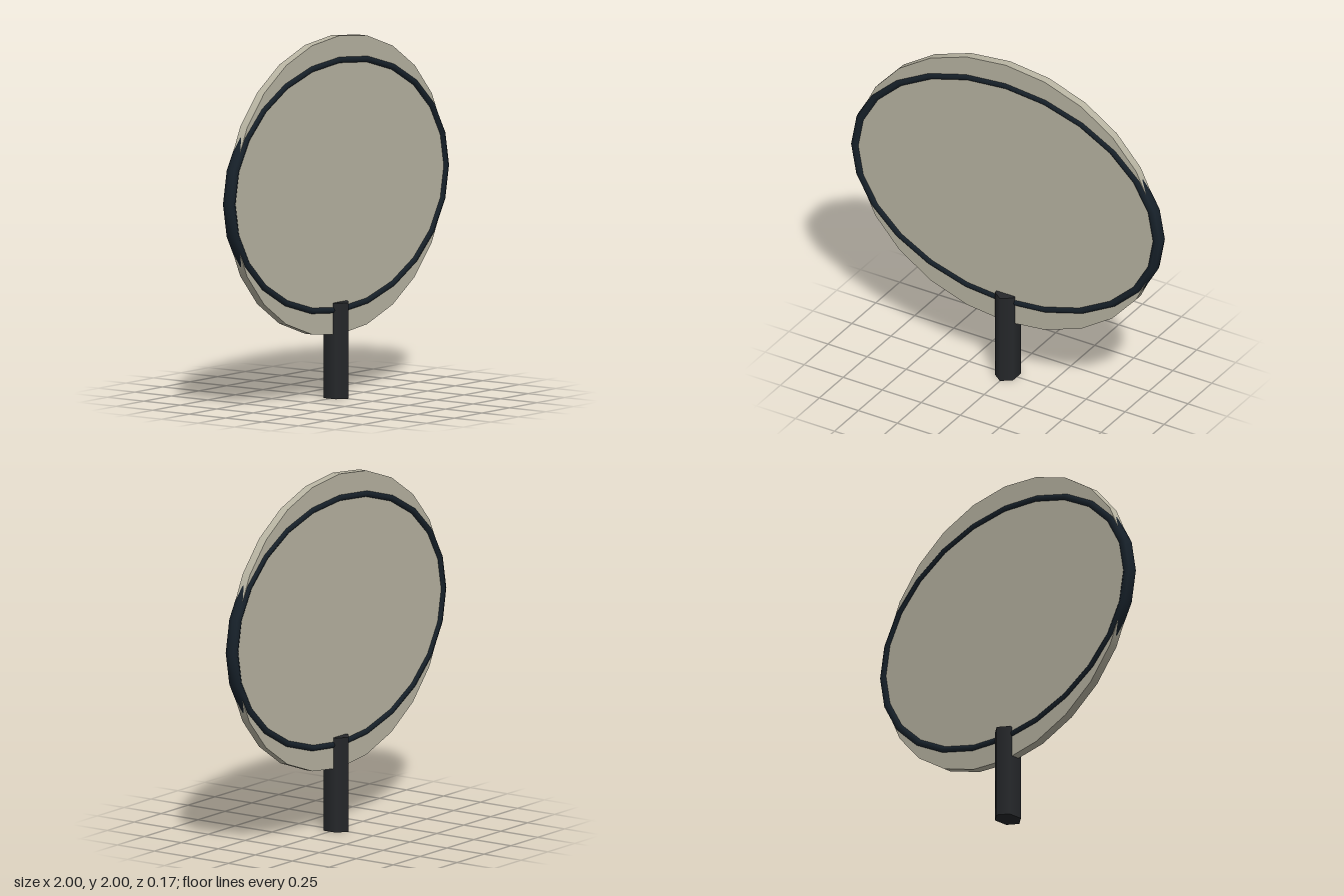
import * as THREE from 'three';

export function createModel() {
  const model = new THREE.Group();
  const centreY = 1.175;

  function add(name, geometry, color, y) {
    const mesh = new THREE.Mesh(geometry, new THREE.MeshStandardMaterial({ color }));
    mesh.name = name;
    mesh.position.y = y;
    model.add(mesh);
  }

  // Thin oval panel standing upright
  const panel = new THREE.CylinderGeometry(1, 1, 0.048, 24);
  panel.rotateX(Math.PI / 2).scale(0.965, 0.825, 1);
  add('panel', panel, 0xb9b5a3, centreY);

  // Flattened oval hoop that shows on both faces of the panel
  const hoop = new THREE.TorusGeometry(0.967, 0.031, 8, 24);
  hoop.scale(1, 0.714, 1.2);
  add('hoop', hoop, 0x17212a, centreY);

  // Six-sided handle, deeper than it is wide
  const handle = new THREE.CylinderGeometry(0.085, 0.085, 0.53, 6);
  handle.scale(0.79, 1, 1);
  add('handle', handle, 0x26282b, 0.265);

  return model;
}
